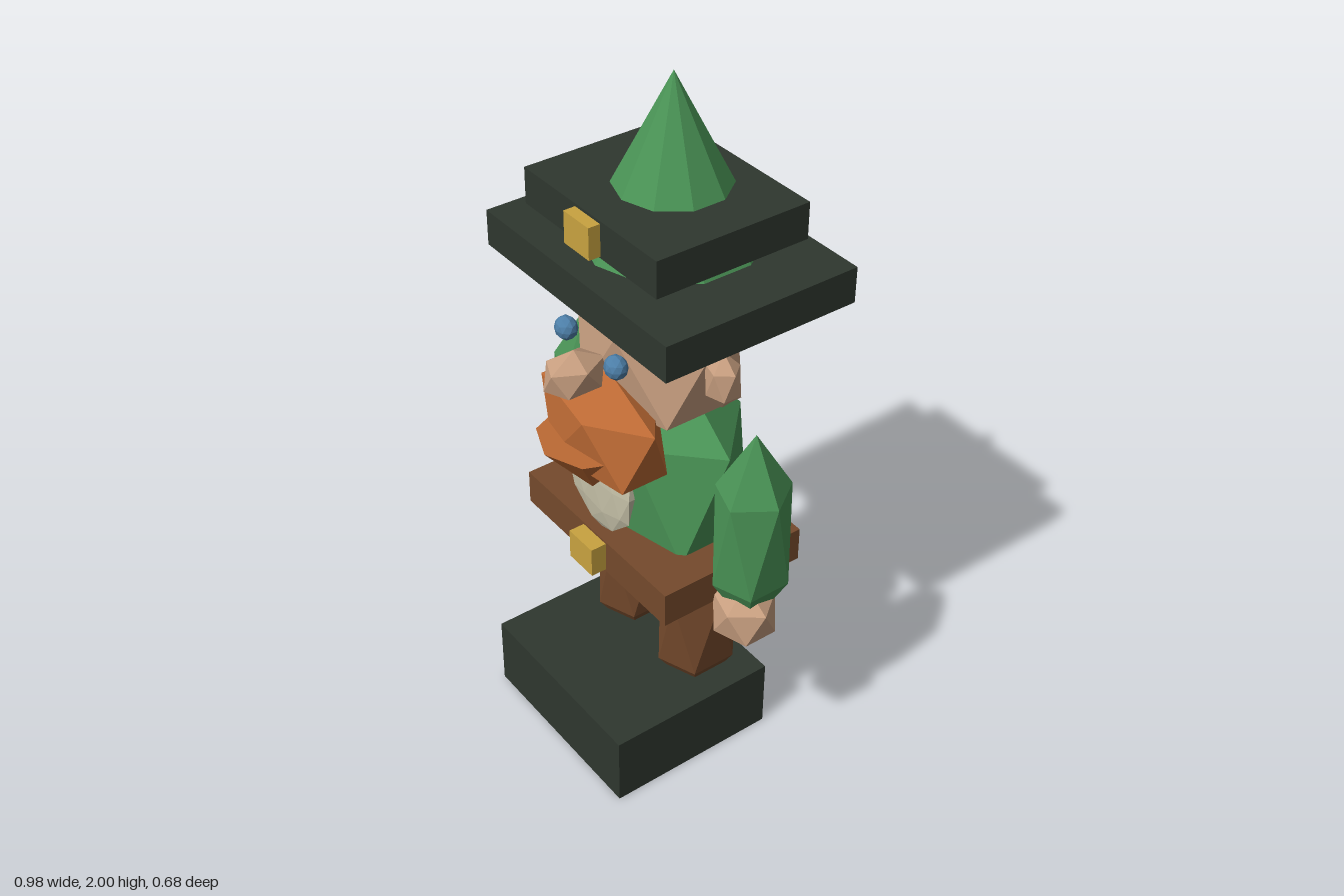
import * as THREE from 'three';

const mat = (name, color) => {
  const m = new THREE.MeshStandardMaterial({ color, flatShading: true });
  m.name = name;
  return m;
};

export function createModel() {
  const green = mat('cloth green', 0x4a9456);
  const dark = mat('dark felt', 0x2f372f);
  const brown = mat('leather brown', 0x754a2c);
  const skin = mat('skin', 0xc89f80);
  const orange = mat('beard orange', 0xbd6a34);
  const cream = mat('shirt cream', 0xc8c3aa);
  const gold = mat('gold', 0xc9a340);
  const blue = mat('eye blue', 0x4d7fa8);

  const model = new THREE.Group();
  model.name = 'gardenFigure';
  const CX = 0.02; // the body's own middle line

  const add = (name, geometry, material) => {
    const mesh = new THREE.Mesh(geometry, material);
    mesh.name = name;
    model.add(mesh);
    return mesh;
  };

  // Stretched icosahedron standing on a corner: centre and radii per axis
  const gem = (name, material, [x, y, z], [rx, ry, rz], detail = 0) => {
    const g = new THREE.IcosahedronGeometry(1, detail);
    g.rotateZ(-Math.atan(2 / (1 + Math.sqrt(5))));
    g.scale(rx, ry, rz).translate(x, y, z);
    return add(name, g, material);
  };

  // Box from its limits on each axis
  const block = (name, material, [x0, x1], [y0, y1], [z0, z1]) => {
    const g = new THREE.BoxGeometry(x1 - x0, y1 - y0, z1 - z0);
    g.translate((x0 + x1) / 2, (y0 + y1) / 2, (z0 + z1) / 2);
    return add(name, g, material);
  };

  // Plinth, torso and belt
  block('base', dark, [-0.28, 0.316], [0, 0.215], [-0.19, 0.325]);
  gem('torso', green, [CX, 0.84, -0.055], [0.3, 0.38, 0.215]);
  block('belt', brown, [-0.305, 0.338], [0.602, 0.706], [-0.268, 0.188]);
  block('beltBuckle', gold, [-0.033, 0.071], [0.61, 0.7], [0.17, 0.235]);

  // Limbs and ears on both sides
  for (const [side, s] of [['left', 1], ['right', -1]]) {
    gem(side + 'Leg', brown, [CX + s * 0.146, 0.375, -0.055], [0.114, 0.285, 0.13]);
    gem(side + 'Arm', green, [CX + s * 0.369, 0.83, -0.055], [0.112, 0.325, 0.12]);
    gem(side + 'Hand', skin, [CX + s * 0.38, 0.58, -0.03], [0.1, 0.1, 0.095]);
    gem(side + 'Ear', skin, [CX + s * 0.262, 1.273, -0.028], [0.055, 0.085, 0.049]);
    gem(side + 'Eye', blue, [CX + s * 0.109, 1.315, 0.188], [0.034, 0.034, 0.03], 1);
  }

  // Head and face
  gem('head', skin, [CX, 1.25, -0.026], [0.27, 0.27, 0.228]);
  gem('nose', skin, [CX, 1.255, 0.24], [0.068, 0.072, 0.095]);
  gem('beard', orange, [CX, 1.06, 0.152], [0.25, 0.195, 0.135]);
  const tip = new THREE.ConeGeometry(0.15, 0.178, 8).rotateX(Math.PI);
  // keep a corner facing forward after the flip
  add('beardTip', tip.translate(CX, 0.953, 0.188), orange);
  gem('shirtFront', cream, [CX, 0.9, 0.166], [0.15, 0.18, 0.03], 1);

  // Pouch with coins at the right hip
  gem('pouch', brown, [-0.372, 0.66, -0.1], [0.132, 0.2, 0.13]);
  [[-0.428, 0.676, 0.0, 0.034], [-0.385, 0.688, 0.015, 0.024], [-0.305, 0.7, 0.005, 0.026]]
    .forEach(([x, y, z, r], i) => gem('coin' + (i + 1), gold, [x, y, z], [r, r, r * 0.8]));

  // Hat
  const crown = new THREE.ConeGeometry(0.265, 0.51, 10);
  add('hatCrown', crown.translate(CX, 1.745, -0.065), green);
  block('hatBrim', dark, [-0.363, 0.403], [1.446, 1.548], [-0.34, 0.24]);
  block('hatBand', dark, [-0.255, 0.295], [1.6, 1.703], [-0.27, 0.188]);
  block('hatBuckle', gold, [-0.033, 0.071], [1.605, 1.695], [0.17, 0.222]);

  return model;
}
